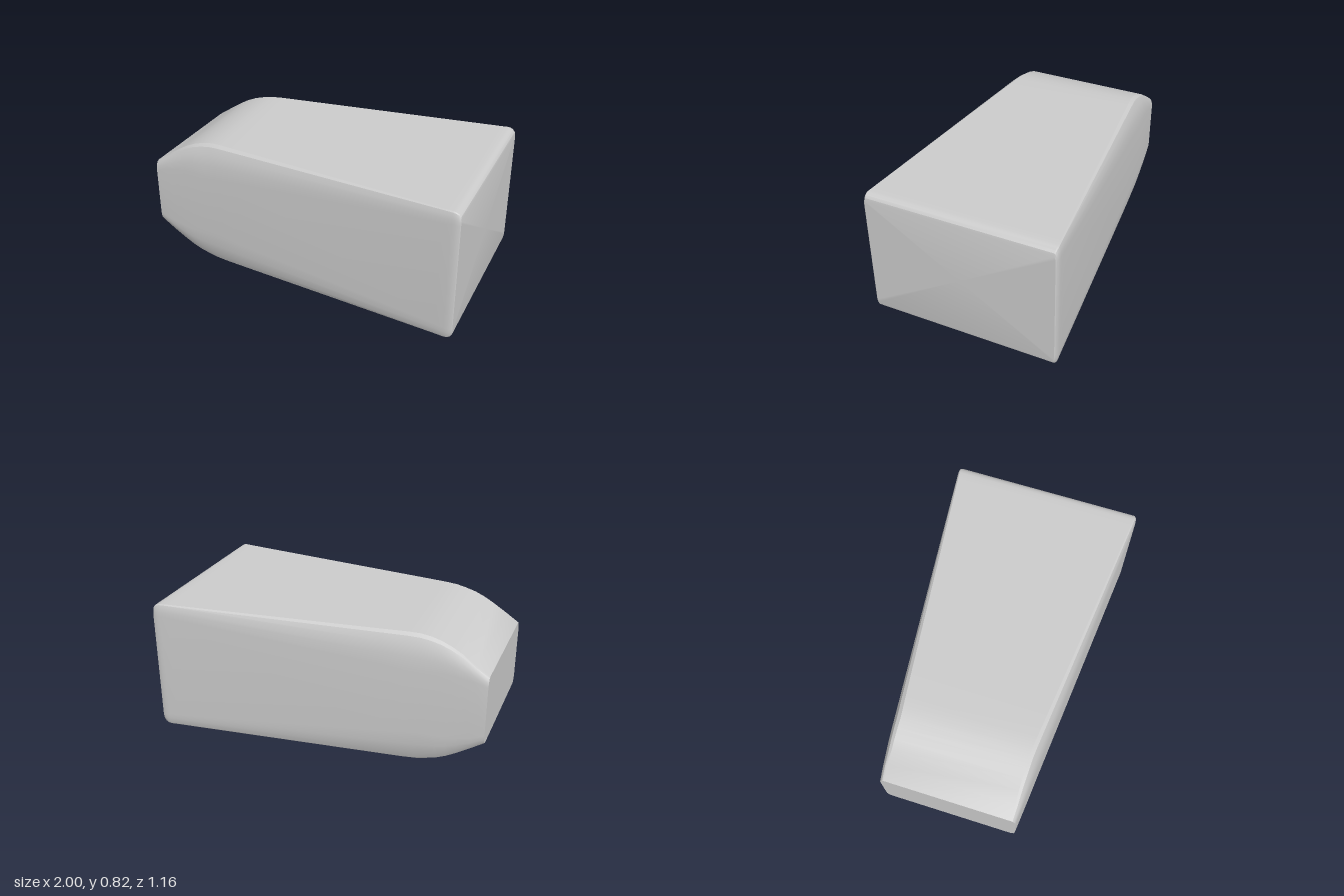
import * as THREE from 'three';
import { toCreasedNormals } from 'three/addons/utils/BufferGeometryUtils.js';

const MID_Y = 0.41;
const STEPS = 4; // segments per rounded corner

// Ring of points around the x axis: half height h, half width w, corner size dy by dz
function ring([x, h, w, dy, dz]) {
  const points = [];
  const corners = [[1, 1], [-1, 1], [-1, -1], [1, -1]];
  corners.forEach(([sy, sz], c) => {
    for (let i = 0; i <= STEPS; i++) {
      const k = c % 2 === 0 ? i : STEPS - i;
      const a = (k / STEPS) * Math.PI / 2;
      const y = h - dy + dy * Math.cos(a);
      const z = w - dz + dz * Math.sin(a);
      points.push([x, MID_Y + sy * y, sz * z]);
    }
  });
  return points;
}

// Skin between successive rings, closed by a flat cap at each end
function loft(rings) {
  const positions = [];
  const n = rings[0].length;
  const tri = (a, b, c) => positions.push(...a, ...b, ...c);
  for (let i = 0; i < rings.length - 1; i++) {
    const a = rings[i], b = rings[i + 1];
    for (let j = 0; j < n; j++) {
      const k = (j + 1) % n;
      tri(a[j], a[k], b[k]);
      tri(a[j], b[k], b[j]);
    }
  }
  const first = rings[0], last = rings[rings.length - 1];
  for (let j = 0; j < n; j++) {
    const k = (j + 1) % n;
    tri([first[0][0], MID_Y, 0], first[k], first[j]);
    tri([last[0][0], MID_Y, 0], last[j], last[k]);
  }
  const geometry = new THREE.BufferGeometry();
  geometry.setAttribute('position', new THREE.Float32BufferAttribute(positions, 3));
  return toCreasedNormals(geometry, 0.42);
}

export function createModel() {
  const group = new THREE.Group();
  group.name = 'taperedBlock';
  const width = (x) => 0.41 + (x + 1) * 0.086;

  // Rounded nose, as x, half height, corner height, corner depth
  const sections = [
    [-1, 0.212, 0.06, 0.03],
    [-0.92, 0.265, 0.085, 0.035],
    [-0.84, 0.318, 0.125, 0.045],
    [-0.78, 0.352, 0.15, 0.05],
    [-0.72, 0.378, 0.175, 0.055],
    [-0.66, 0.395, 0.195, 0.06],
    [-0.6, 0.406, 0.208, 0.06],
    [-0.53, 0.409, 0.205, 0.058],
    [-0.4, 0.409, 0.19, 0.054],
    [0.9, 0.409, 0.08, 0.018],
    [0.95, 0.409, 0.075, 0.016],
  ].map(([x, h, dy, dz]) => [x, h, width(x), dy, dz]);

  // Small rounding into the wide end
  for (let i = 1; i <= 4; i++) {
    const a = (i / 4) * Math.PI / 2;
    const drop = 1 - Math.cos(a);
    const x = 0.95 + 0.05 * Math.sin(a);
    sections.push([x, 0.409 - 0.04 * drop, width(x) - 0.014 * drop, 0.072 - 0.035 * drop, 0.015]);
  }

  const body = new THREE.Mesh(
    loft(sections.map(ring)),
    new THREE.MeshStandardMaterial({ color: 0xcccccc })
  );
  body.name = 'body';
  group.add(body);
  return group;
}
